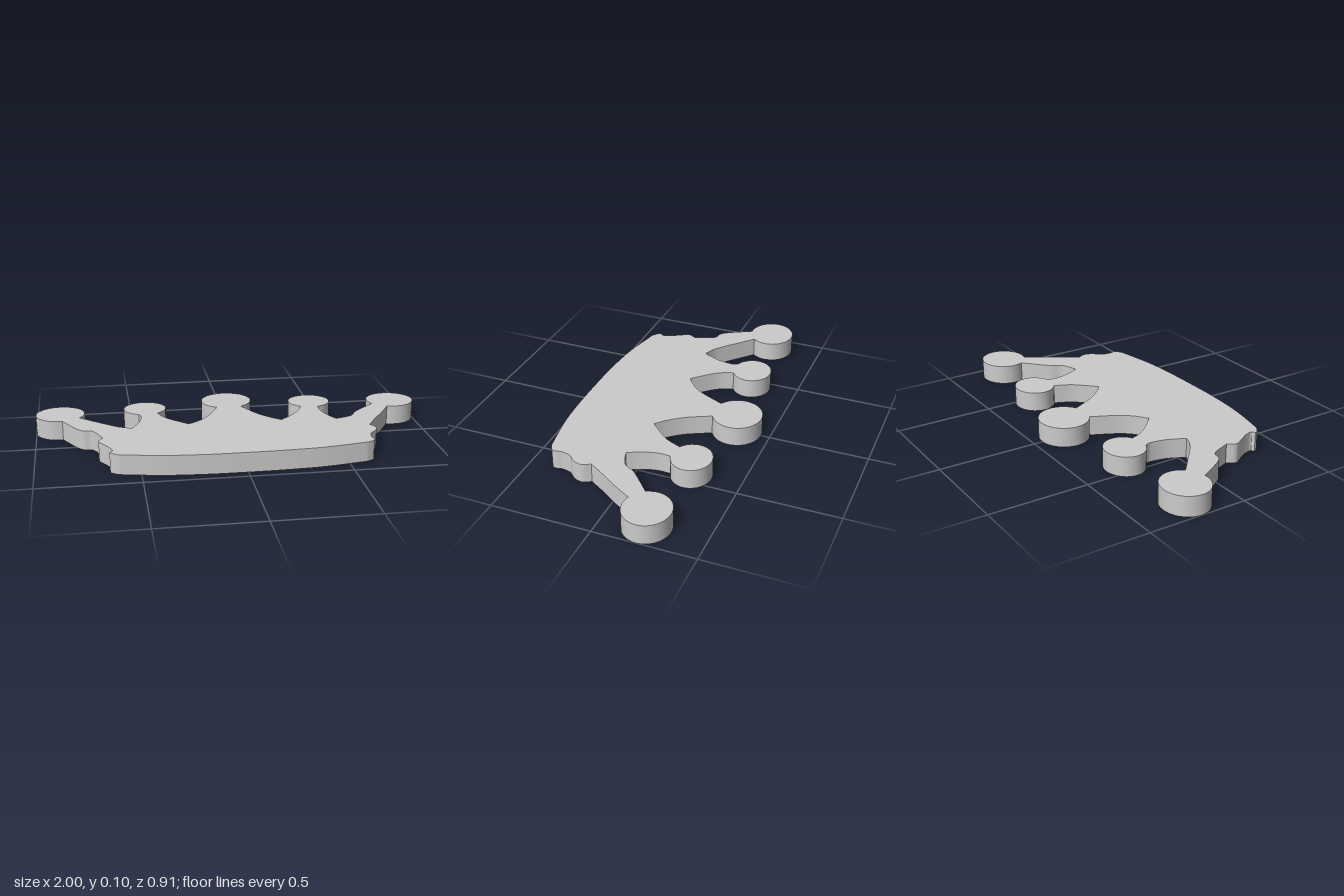
import * as THREE from 'three';
import { toCreasedNormals } from 'three/addons/utils/BufferGeometryUtils.js';

const THICKNESS = 0.1;
const v = ([x, y]) => new THREE.Vector2(x, y);
const rad = THREE.MathUtils.degToRad;

// Round tips from right to left: centre, radii, start and end angle in degrees
const tips = [
  [0.875, 0.215, 0.125, 0.115, 250, 568],
  [0.44, 0.255, 0.11, 0.1, 285, 597],
  [0.003, 0.33, 0.132, 0.125, 299, 601],
  [-0.437, 0.26, 0.11, 0.1, 303, 610],
  [-0.875, 0.232, 0.125, 0.115, 321, 635],
];

// Valleys between the tips: curve down to the cusp, then points back up
const valleys = [
  { down: [[0.65, 0.055], [0.605, -0.01], [0.52, -0.045]], up: [[0.49, 0.015], [0.468, 0.09]] },
  { down: [[0.345, 0.095], [0.3, 0.04], [0.24, -0.02]], up: [[0.19, 0.025], [0.13, 0.1]] },
  { down: [[-0.12, 0.1], [-0.17, 0.035], [-0.235, -0.015]], up: [[-0.315, 0.065], [-0.355, 0.12]] },
  { down: [[-0.465, 0.13], [-0.48, 0.05], [-0.52, -0.035]], up: [[-0.57, -0.015], [-0.62, 0.02]] },
];

function tipStart([cx, cy, rx, ry, a]) {
  return [cx + rx * Math.cos(rad(a)), cy + ry * Math.sin(rad(a))];
}

function crownShape() {
  const s = new THREE.Shape();
  // Bowed lower edge
  s.moveTo(-0.635, -0.37);
  s.lineTo(-0.605, -0.39);
  s.splineThru([[-0.4, -0.43], [-0.2, -0.447], [0, -0.45], [0.2, -0.447], [0.38, -0.435], [0.59, -0.4]].map(v));
  // Right end of the band, with its notched rim
  s.splineThru([[0.625, -0.38], [0.63, -0.355], [0.625, -0.335]].map(v));
  s.splineThru([[0.635, -0.285], [0.67, -0.245], [0.685, -0.2], [0.665, -0.155]].map(v));
  s.splineThru([[0.725, -0.06], [0.78, 0.02], tipStart(tips[0])].map(v));
  // Tips and valleys
  tips.forEach((t, i) => {
    s.absellipse(t[0], t[1], t[2], t[3], rad(t[4]), rad(t[5]), false);
    if (i < valleys.length) {
      s.splineThru(valleys[i].down.map(v));
      s.splineThru([...valleys[i].up, tipStart(tips[i + 1])].map(v));
    }
  });
  // Left end of the band
  s.splineThru([[-0.78, -0.025], [-0.715, -0.055], [-0.67, -0.155]].map(v));
  s.splineThru([[-0.692, -0.2], [-0.665, -0.25], [-0.64, -0.295]].map(v));
  s.splineThru([[-0.63, -0.335], [-0.645, -0.35], [-0.635, -0.37]].map(v));
  return s;
}

export function createModel() {
  const group = new THREE.Group();
  group.name = 'flatCrown';

  // Flat plate lying on the ground, tips pointing to the back
  const plate = new THREE.ExtrudeGeometry(crownShape(), {
    depth: THICKNESS, bevelEnabled: false, curveSegments: 14,
  });
  plate.rotateX(-Math.PI / 2);
  const crown = new THREE.Mesh(
    toCreasedNormals(plate, rad(35)),
    new THREE.MeshStandardMaterial({ color: 0xcccccc }),
  );
  crown.name = 'crownPlate';
  group.add(crown);
  return group;
}
